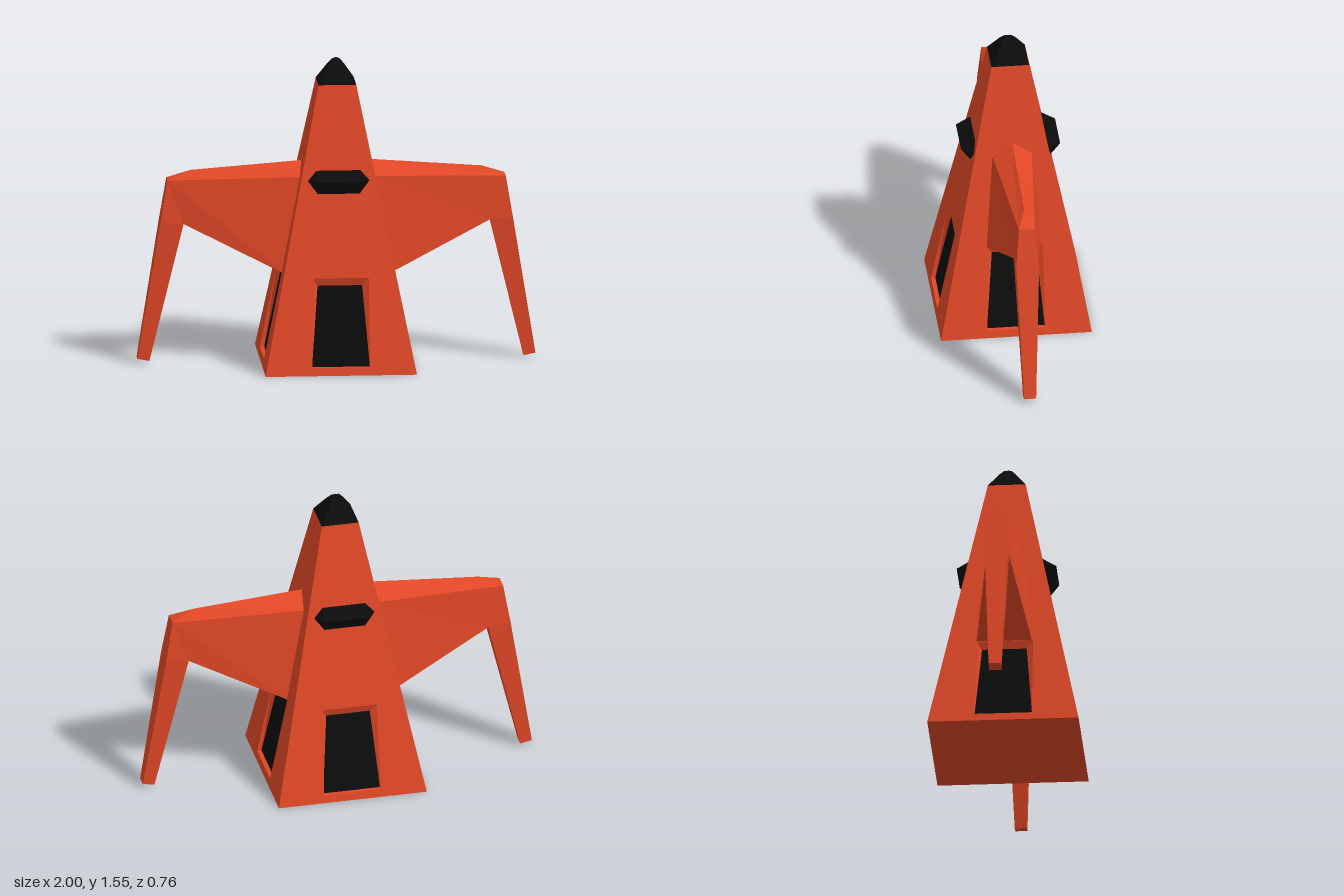
import * as THREE from 'three';

const orange = new THREE.MeshStandardMaterial({ color: 0xe04726, flatShading: true });
orange.name = 'hull orange';
const black = new THREE.MeshStandardMaterial({ color: 0x0c0c0c, flatShading: true });
black.name = 'panel black';

// Mesh from convex polygons, each listed counter-clockwise seen from outside
function facets(name, polygons, material) {
  const pos = [];
  for (const p of polygons)
    for (let i = 1; i < p.length - 1; i++) pos.push(...p[0], ...p[i], ...p[i + 1]);
  const geo = new THREE.BufferGeometry();
  geo.setAttribute('position', new THREE.Float32BufferAttribute(pos, 3));
  geo.computeVertexNormals();
  const mesh = new THREE.Mesh(geo, material);
  mesh.name = name;
  return mesh;
}

// Add the copy of each polygon reflected along one axis, with its order reversed
const mirrored = (polys, axis) => polys.concat(polys.map((poly) =>
  poly.map((p) => p.map((v, i) => (i === axis ? -v : v))).reverse()));

const TOP = 1.43, BASE = 0.38, NECK = 0.095;
// Point on the sloping +z wall, sunk by depth d
const wall = (x, y, d = 0) => [x, y, BASE - (BASE - NECK) * y / TOP - d];

// One hull wall with a recessed window
function hullSide() {
  const g = new THREE.Group();
  g.name = 'hullSide';
  const w = 0.145, y0 = 0.04, y1 = 0.48, d = 0.022, wt = 0.112, yt = 0.44;
  const sides = mirrored([
    [wall(BASE, 0), wall(NECK, TOP), wall(w, y1), wall(w, y0)],
    [wall(w, y0), wall(w, y1), wall(wt, yt, d), wall(w, y0, d)],
  ], 0);
  g.add(facets('wall', [
    ...sides,
    [wall(-BASE, 0), wall(BASE, 0), wall(w, y0), wall(-w, y0)],
    [wall(-w, y1), wall(w, y1), wall(NECK, TOP), wall(-NECK, TOP)],
    [wall(-w, y1), wall(-wt, yt, d), wall(wt, yt, d), wall(w, y1)],
    [wall(-w, y0), wall(w, y0), wall(w, y0, d), wall(-w, y0, d)],
  ], orange));
  g.add(facets('window', [
    [wall(-w, y0, d), wall(w, y0, d), wall(wt, yt, d), wall(-wt, yt, d)],
  ], black));
  return g;
}

// Wedge-shaped hexagonal vent on the upper hull
function vent() {
  const t = wall(0.11, 1.01), m = wall(0.155, 0.96), b = wall(0.105, 0.895);
  const r = [0.115, 0.965, 0.25];
  const flip = ([x, y, z]) => [-x, y, z];
  return facets('vent', [
    [flip(r), r, t, flip(t)],
    [flip(b), b, r, flip(r)],
    ...mirrored([[r, m, t], [r, b, m]], 0),
  ], black);
}

// Tapered arm with a hanging leg, on the +x side
function arm() {
  const crest0 = [0.17, 1.027, 0], crest1 = [0.73, 0.985, 0];
  const root = [0.17, 0.962, 0.102], low = [0.27, 0.475, 0.141];
  const inner = [0.77, 0.72, 0.058], shoulder = [0.85, 0.94, 0.04];
  const outer = [0.885, 0.73, 0.058];
  const toeIn = [0.94, 0.013, 0.03], toeOut = [1, 0.025, 0.03];
  const back = ([x, y, z]) => [x, y, -z];
  return facets('armAndLeg', [
    ...mirrored([
      [root, low, inner, shoulder],
      [shoulder, inner, outer],
      [inner, toeIn, toeOut, outer],
      [crest0, root, shoulder, crest1],
    ], 2),
    [crest1, shoulder, back(shoulder)],
    [shoulder, outer, back(outer), back(shoulder)],
    [outer, toeOut, back(toeOut), back(outer)],
    [toeOut, toeIn, back(toeIn), back(toeOut)],
    [toeIn, inner, back(inner), back(toeIn)],
    [inner, low, back(low), back(inner)],
  ], orange);
}

export function createModel() {
  const model = new THREE.Group();
  model.name = 'spacecraft';

  // Four identical walls and the underside
  for (let i = 0; i < 4; i++) {
    const side = hullSide();
    side.rotation.y = i * Math.PI / 2;
    model.add(side);
  }
  model.add(facets('underside', [
    [[-BASE, 0, -BASE], [BASE, 0, -BASE], [BASE, 0, BASE], [-BASE, 0, BASE]],
  ], orange));

  // Vents front and back, arms left and right
  for (const turn of [0, Math.PI]) {
    const v = vent(), a = arm();
    v.rotation.y = a.rotation.y = turn;
    model.add(v, a);
  }

  // Four-sided nose cap
  const profile = [[NECK, TOP], [0.04, 1.515], [0.018, 1.543], [0, 1.553]]
    .map(([r, y]) => new THREE.Vector2(r * Math.SQRT2, y));
  const nose = new THREE.Mesh(new THREE.LatheGeometry(profile, 4, Math.PI / 4), black);
  nose.name = 'noseCap';
  model.add(nose);

  return model;
}
